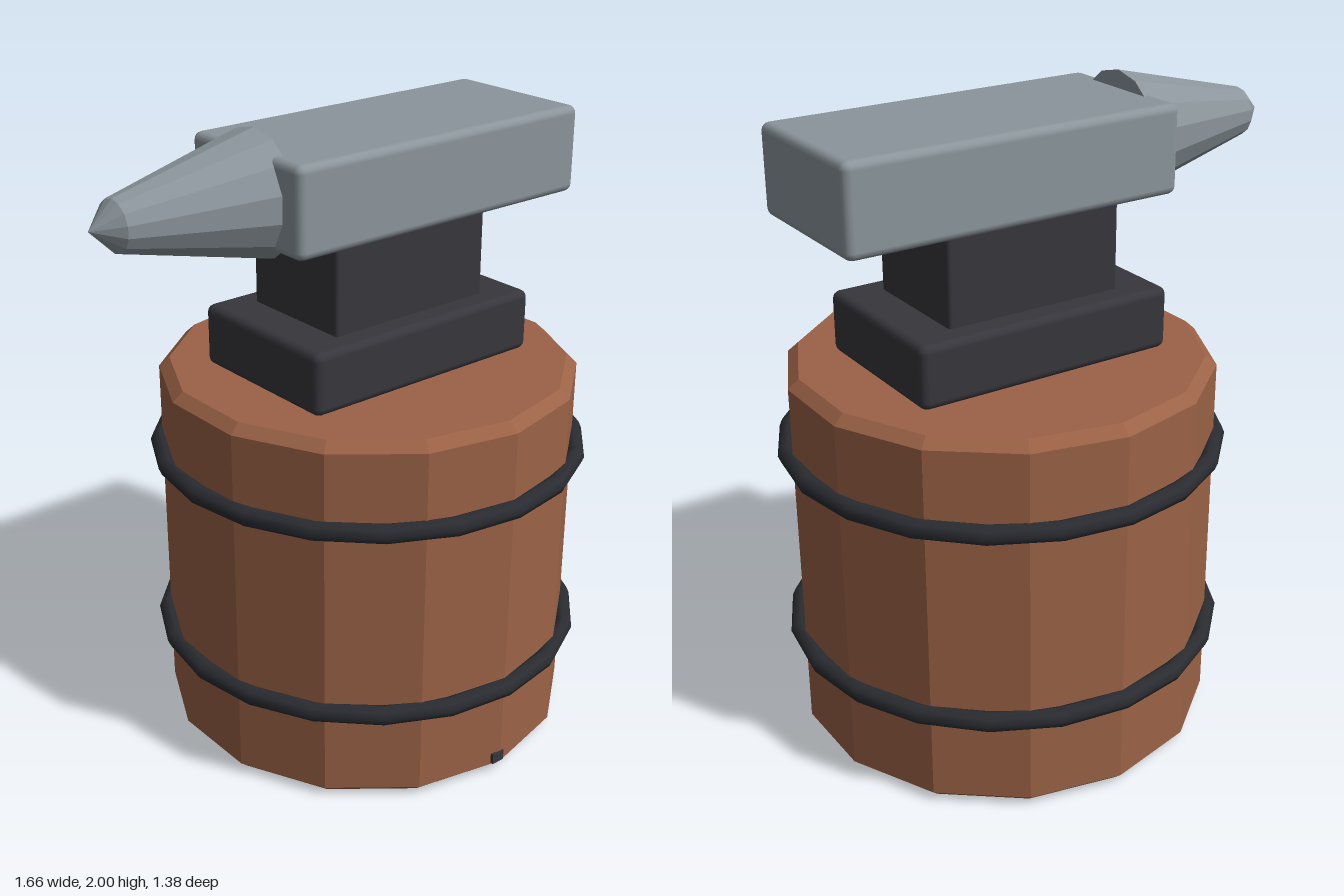
import * as THREE from 'three';
import { RoundedBoxGeometry } from 'three/addons/geometries/RoundedBoxGeometry.js';

const SIDES = 14;
const CENTRE_X = 0.135;

function material(name, color) {
  const m = new THREE.MeshStandardMaterial({ color });
  m.name = name;
  return m;
}

// Flat-faceted solid of revolution from [radius, height] pairs, bottom to top
function facetedLathe(points) {
  const geometry = new THREE.LatheGeometry(points.map(([r, y]) => new THREE.Vector2(r, y)), SIDES).toNonIndexed();
  geometry.computeVertexNormals();
  return geometry;
}

export function createModel() {
  const group = new THREE.Group();
  const wood = material('wood', 0x9b6246);
  const steel = material('steel', 0x8b959b);
  const iron = material('dark iron', 0x37363c);
  const band = material('band iron', 0x2a2c31);

  const add = (name, geometry, mat, x, y, z = 0) => {
    const mesh = new THREE.Mesh(geometry, mat);
    mesh.name = name;
    mesh.position.set(x, y, z);
    group.add(mesh);
    return mesh;
  };
  // Box with softened edges, given by its extents
  const block = (name, mat, x0, x1, y0, y1, halfDepth, radius) =>
    add(name, new RoundedBoxGeometry(x1 - x0, y1 - y0, halfDepth * 2, 2, radius), mat,
      (x0 + x1) / 2, (y0 + y1) / 2);

  // Wooden stump with chamfered rims
  add('stump', facetedLathe([[0, 0], [0.622, 0], [0.655, 0.03], [0.655, 1.175], [0.622, 1.205], [0, 1.205]]),
    wood, CENTRE_X, 0);

  // Iron bands round the stump
  for (const [name, y] of [['lowerBand', 0.315], ['upperBand', 0.935]]) {
    add(name, new THREE.TorusGeometry(0.661, 0.03, 8, 20).rotateX(Math.PI / 2), band, CENTRE_X, y);
  }

  // Small stud low on the front
  add('stud', new THREE.BoxGeometry(0.045, 0.035, 0.03), iron, 0.123, 0.052, 0.643);

  // Anvil: foot, waist and body
  block('foot', iron, -0.29, 0.56, 1.205, 1.4, 0.272, 0.025);
  block('waist', iron, -0.155, 0.425, 1.36, 1.72, 0.195, 0.012);
  block('body', steel, -0.33, 0.757, 1.675, 1.945, 0.25, 0.025);

  // Horn tapering towards -x, with a short blunt tip
  const horn = facetedLathe([[0, 0.29], [0.19, 0.29], [0.076, 0.758], [0, 0.835]]);
  horn.rotateY(Math.PI / 2).rotateZ(Math.PI / 2);
  add('horn', horn, steel, 0, 1.81);

  return group;
}
